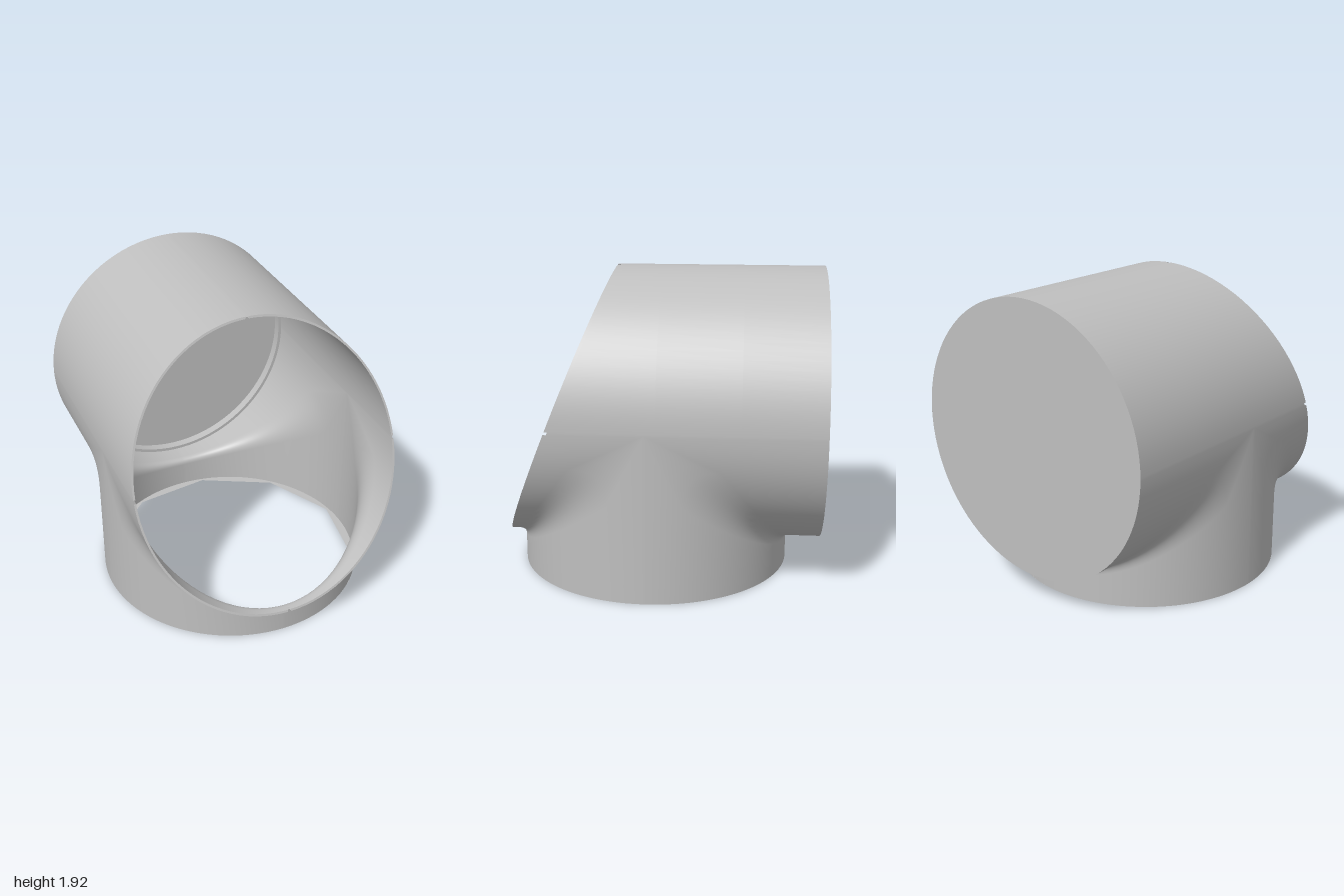
import * as THREE from 'three';
import { mergeGeometries, mergeVertices } from 'three/addons/utils/BufferGeometryUtils.js';

const R = 0.865, INNER = 0.852;      // outer and inner pipe radius
const AXIS_Y = 1.06, STEM_Z = 0.07;  // height of the main axis, z of the upright stem
const BACK = -1, NOTCH = 0.012;

// z of the slanted front cut at height y
const cutZ = (y) => 0.31 + (1.925 - y) * 0.69 / 1.73;

// angles of half a turn, with extra rows beside the four rim notches
const angles = [NOTCH, Math.PI / 2 - NOTCH, Math.PI / 2 + NOTCH, Math.PI - NOTCH];
for (let i = 0; i <= 48; i++) angles.push(i * Math.PI / 48);
angles.sort((a, b) => a - b);
const inNotch = (i) => {
  const mid = (angles[i] + angles[i + 1]) / 2;
  return [0, Math.PI / 2, Math.PI].some((t) => Math.abs(mid - t) < NOTCH);
};

// skin through one row of points per angle
function skin(rowAt, flip, notched) {
  const rows = angles.map(rowAt), n = rows[0].length, index = [];
  for (let i = 0; i < rows.length - 1; i++) {
    for (let j = 0; j < n - 1; j++) {
      if (notched && j === 0 && inNotch(i)) continue;
      const a = i * n + j, b = a + n, c = a + 1, d = b + 1;
      index.push(...(flip ? [a, c, b, b, c, d] : [a, b, c, b, d, c]));
    }
  }
  const g = new THREE.BufferGeometry();
  g.setAttribute('position', new THREE.Float32BufferAttribute(rows.flat(2), 3));
  g.setIndex(index);
  return g;
}

// upper half of the main pipe
function upperRow(t, r) {
  const x = r * Math.cos(t), y = AXIS_Y + r * Math.sin(t), z = cutZ(y);
  return [z, z - 0.02, 0, -0.5, BACK].map((q) => [x, y, q]);
}

// lower half: along the main pipe, round the blended corner, down the stem
function lowerRow(t, r, side) {
  const x = r * Math.cos(t), m = r * Math.sin(t);
  const end = side > 0 ? cutZ(AXIS_Y - m) - STEM_Z : STEM_Z - BACK;
  const k = Math.min(m, 0.3 - 0.3 * m);
  const path = [[end, m], [end - 0.02, m]];
  for (let i = 0; i <= 10; i++) {
    const u = i / 10;
    path.push([m + k * (1 - u) ** 2, m + k * u * u]);
  }
  path.push([m, AXIS_Y]);
  return path.map(([a, b]) => [x, AXIS_Y - b, STEM_Z + side * a]);
}

function pipeWall(r) {
  const g = mergeVertices(mergeGeometries([
    skin((t) => upperRow(t, r), true, true),
    skin((t) => lowerRow(t, r, 1), false, true),
    skin((t) => lowerRow(t, r, -1), true, false),
  ]), 1e-5);
  g.computeVertexNormals();
  return g;
}

// thin edge joining the outer and inner walls along the slanted cut
function rimHalf(up) {
  const g = skin((t) => [R, INNER].map((r) => {
    const y = AXIS_Y + up * r * Math.sin(t);
    return [r * Math.cos(t), y, cutZ(y)];
  }), up > 0, true);
  g.computeVertexNormals();
  return g;
}

export function createModel() {
  const group = new THREE.Group();
  const grey = new THREE.MeshStandardMaterial({ color: 0xbfbfbf, side: THREE.DoubleSide });
  grey.name = 'grey';
  const add = (name, geometry, x = 0, y = 0, z = 0) => {
    const mesh = new THREE.Mesh(geometry, grey);
    mesh.name = name;
    mesh.position.set(x, y, z);
    group.add(mesh);
  };

  add('outerWall', pipeWall(R));
  add('innerWall', pipeWall(INNER));
  add('upperFrontRim', rimHalf(1));
  add('lowerFrontRim', rimHalf(-1));

  // closed back end with a shallow lip inside
  add('backCap', new THREE.CircleGeometry(R, 96).rotateY(Math.PI), 0, AXIS_Y, BACK);
  add('backLip', new THREE.CylinderGeometry(0.83, 0.83, 0.06, 96, 1, true).rotateX(Math.PI / 2),
    0, AXIS_Y, BACK + 0.03);
  add('backLipFace', new THREE.RingGeometry(0.83, INNER, 96), 0, AXIS_Y, BACK + 0.06);

  // flat foot with a ten-sided opening
  const foot = new THREE.Shape().absarc(0, 0, R, 0, Math.PI * 2);
  const opening = [];
  for (let i = 0; i < 10; i++) {
    const t = THREE.MathUtils.degToRad(27 + 36 * i);
    opening.push(new THREE.Vector2(0.835 * Math.cos(t), 0.835 * Math.sin(t)));
  }
  foot.holes.push(new THREE.Path(opening));
  add('footRing', new THREE.ShapeGeometry(foot, 96).rotateX(Math.PI / 2), 0, 0, STEM_Z);
  return group;
}
